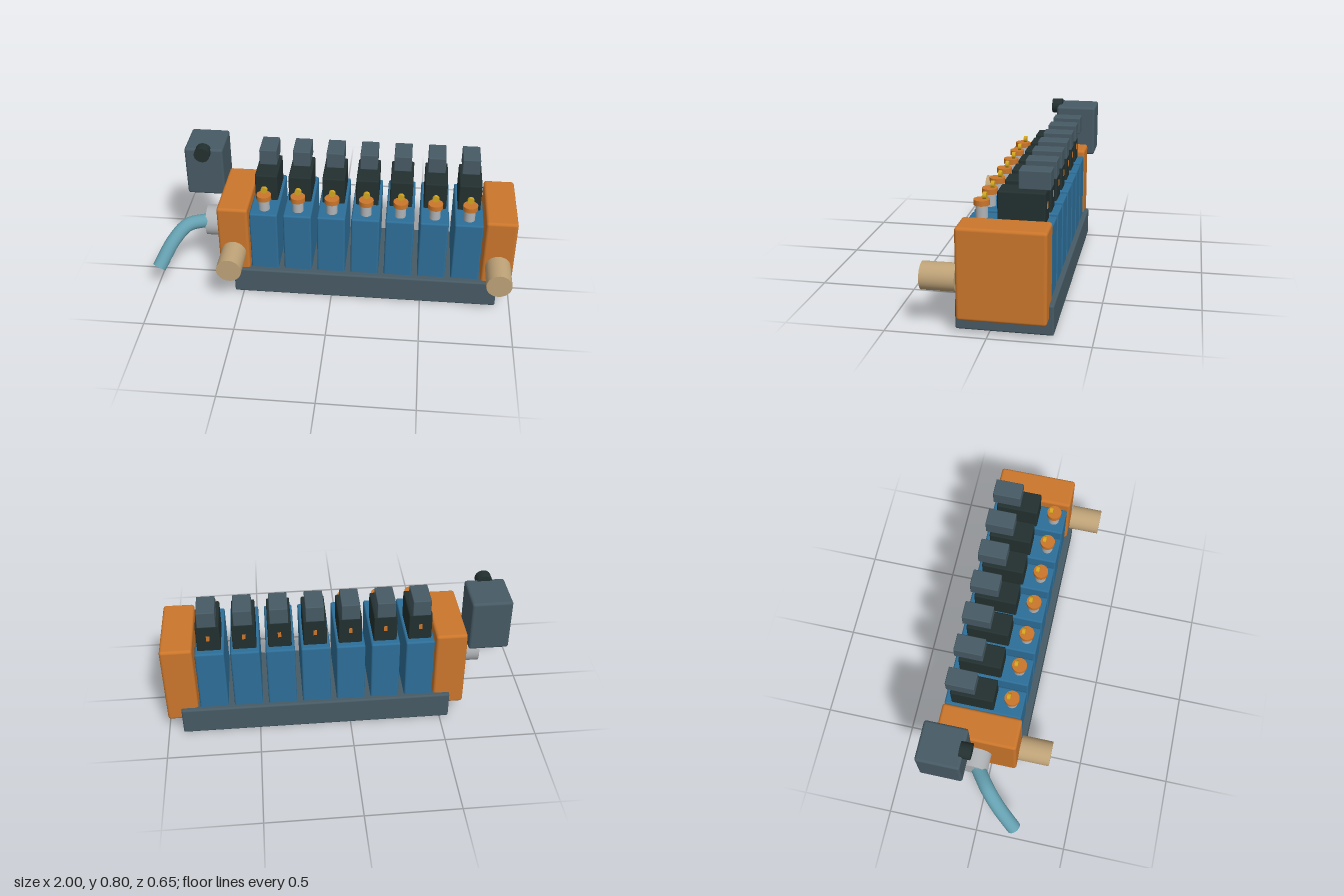
import * as THREE from 'three';
import { RoundedBoxGeometry } from 'three/addons/geometries/RoundedBoxGeometry.js';

const material = (name, color) => {
  const m = new THREE.MeshStandardMaterial({ color });
  m.name = name;
  return m;
};

export function createModel() {
  const slate = material('slate grey', 0x475a64);
  const orange = material('orange', 0xcb762b);
  const blue = material('blue', 0x2d6e98);
  const black = material('near black', 0x22302f);
  const tan = material('tan brass', 0xbfa378);
  const silver = material('silver', 0xb0b3b6);
  const teal = material('teal hose', 0x65a0b0);
  const gold = material('gold', 0xd2a51f);
  teal.side = THREE.DoubleSide;

  const model = new THREE.Group();
  model.name = 'valveManifold';

  const add = (parent, name, geometry, mat, x, y, z) => {
    const mesh = new THREE.Mesh(geometry, mat);
    mesh.name = name;
    mesh.position.set(x, y, z);
    parent.add(mesh);
    return mesh;
  };
  // Rounded box given by its minimum and maximum on each axis
  const box = (parent, name, mat, [x0, x1], [y0, y1], [z0, z1], r) =>
    add(parent, name, new RoundedBoxGeometry(x1 - x0, y1 - y0, z1 - z0, 3, r), mat,
      (x0 + x1) / 2, (y0 + y1) / 2, (z0 + z1) / 2);
  // Cylinder along the given axis
  const rod = (parent, name, mat, axis, r, length, x, y, z) => {
    const g = new THREE.CylinderGeometry(r, r, length, 32);
    if (axis === 'x') g.rotateZ(Math.PI / 2);
    if (axis === 'z') g.rotateX(Math.PI / 2);
    return add(parent, name, g, mat, x, y, z);
  };

  // Base rail
  box(model, 'baseRail', slate, [-0.55, 0.92], [0, 0.156], [-0.309, 0.17], 0.01);

  // End blocks with front ports
  for (const [side, x] of [['right', -0.545], ['left', 0.913]]) {
    box(model, side + 'EndBlock', orange, [x - 0.085, x + 0.085], [0.08, 0.543], [-0.286, 0.147], 0.016);
    rod(model, side + 'FrontPort', tan, 'z', 0.069, 0.172, x, 0.265, 0.241);
  }

  // Seven valve stations
  for (let i = 0; i < 7; i++) {
    const valve = new THREE.Group();
    valve.name = 'valve' + (i + 1);
    valve.position.x = -0.376 + i * 0.186;
    model.add(valve);
    box(valve, 'valveBody', blue, [-0.077, 0.077], [0.145, 0.513], [-0.283, 0.135], 0.01);
    box(valve, 'solenoid', black, [-0.062, 0.062], [0.505, 0.667], [-0.247, -0.016], 0.008);
    box(valve, 'connector', slate, [-0.048, 0.048], [0.677, 0.769], [-0.27, -0.116], 0.005);
    add(valve, 'indicator', new THREE.BoxGeometry(0.018, 0.03, 0.006), orange, 0, 0.591, -0.247);
    // Manual override
    rod(valve, 'overrideStem', silver, 'y', 0.03, 0.066, 0, 0.543, 0.071);
    rod(valve, 'overrideKnob', orange, 'y', 0.04, 0.027, 0, 0.591, 0.071);
    rod(valve, 'overrideTab', gold, 'z', 0.018, 0.018, 0, 0.623, 0.055);
  }

  // Side fitting and bent supply hose
  rod(model, 'sideFitting', silver, 'x', 0.086, 0.105, -0.68, 0.314, -0.075);
  const path = new THREE.CatmullRomCurve3([
    [-0.725, 0.335, -0.04], [-0.825, 0.347, 0.035], [-0.893, 0.29, 0.105], [-0.967, 0.167, 0.208],
  ].map((p) => new THREE.Vector3(...p)));
  add(model, 'hose', new THREE.TubeGeometry(path, 40, 0.039, 20), teal, 0, 0, 0);
  for (const [t, sign] of [[0, -1], [1, 1]]) {
    const p = path.getPoint(t);
    const cap = add(model, 'hoseEnd', new THREE.CircleGeometry(0.039, 20), teal, p.x, p.y, p.z);
    cap.lookAt(p.clone().addScaledVector(path.getTangent(t), sign));
  }

  // Control box with cable gland
  box(model, 'controlBox', slate, [-0.84, -0.626], [0.477, 0.769], [-0.325, -0.094], 0.014);
  rod(model, 'cableGland', black, 'z', 0.043, 0.061, -0.734, 0.754, -0.085);

  return model;
}
